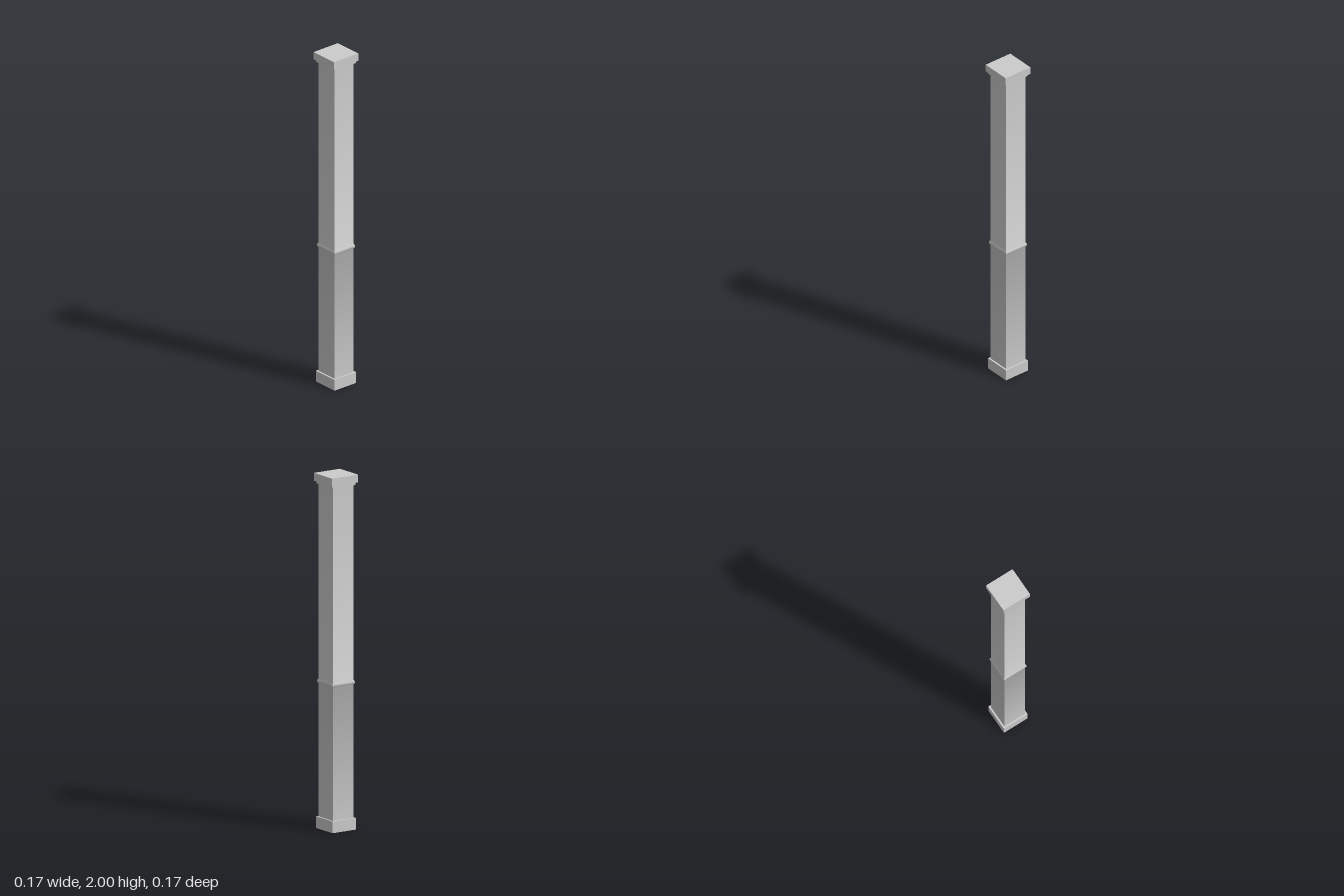
import * as THREE from 'three';

const material = new THREE.MeshStandardMaterial({ color: 0xcccccc, side: THREE.DoubleSide });

// Square loft: profile is [halfWidth, y] from bottom to top. Each side is its own
// strip, so corners stay sharp; "smooth" blends the normals along the height.
function squareLoft(name, profile, smooth = false) {
  const pos = [], nor = [], index = [];
  const segNormals = profile.slice(1).map(([r, y], i) =>
    new THREE.Vector2(y - profile[i][1], profile[i][0] - r).normalize());
  const up = new THREE.Vector3(0, 1, 0);
  for (let side = 0; side < 4; side++) {
    const angle = side * Math.PI / 2;
    const add = (r, y, n) => {
      for (const s of [-1, 1]) {
        pos.push(...new THREE.Vector3(s * r, y, r).applyAxisAngle(up, angle).toArray());
        nor.push(...new THREE.Vector3(0, -n.y * -1, n.x).applyAxisAngle(up, angle).toArray());
      }
    };
    segNormals.forEach((n, i) => {
      const before = smooth && i > 0 ? segNormals[i - 1] : n;
      const after = smooth && i < segNormals.length - 1 ? segNormals[i + 1] : n;
      const v = pos.length / 3;
      add(...profile[i], n.clone().add(before).normalize());
      add(...profile[i + 1], n.clone().add(after).normalize());
      index.push(v, v + 1, v + 3, v, v + 3, v + 2);
    });
  }
  const geometry = new THREE.BufferGeometry();
  geometry.setAttribute('position', new THREE.Float32BufferAttribute(pos, 3));
  geometry.setAttribute('normal', new THREE.Float32BufferAttribute(nor, 3));
  geometry.setIndex(index);
  const mesh = new THREE.Mesh(geometry, material);
  mesh.name = name;
  return mesh;
}

export function createModel() {
  const group = new THREE.Group();
  group.name = 'squareColumn';

  // Hollow plinth, open underneath, with a ledge running in to the shaft
  group.add(squareLoft('base', [[0.078, 0], [0.078, 0.066], [0.068, 0.066]]));

  // Shaft with a small rounded band, shaded smoothly along its height
  group.add(squareLoft('shaftWithBand', [
    [0.068, 0.066], [0.068, 0.816], [0.073, 0.822], [0.075, 0.83],
    [0.073, 0.838], [0.068, 0.846], [0.068, 1.941],
  ], true));

  // Stepped capital: narrow moulding, then the closed top slab
  group.add(squareLoft('capitalMoulding', [[0.068, 1.941], [0.077, 1.941], [0.077, 1.956]]));
  group.add(squareLoft('capitalSlab', [[0.077, 1.956], [0.087, 1.956], [0.087, 2], [0, 2]]));

  return group;
}
